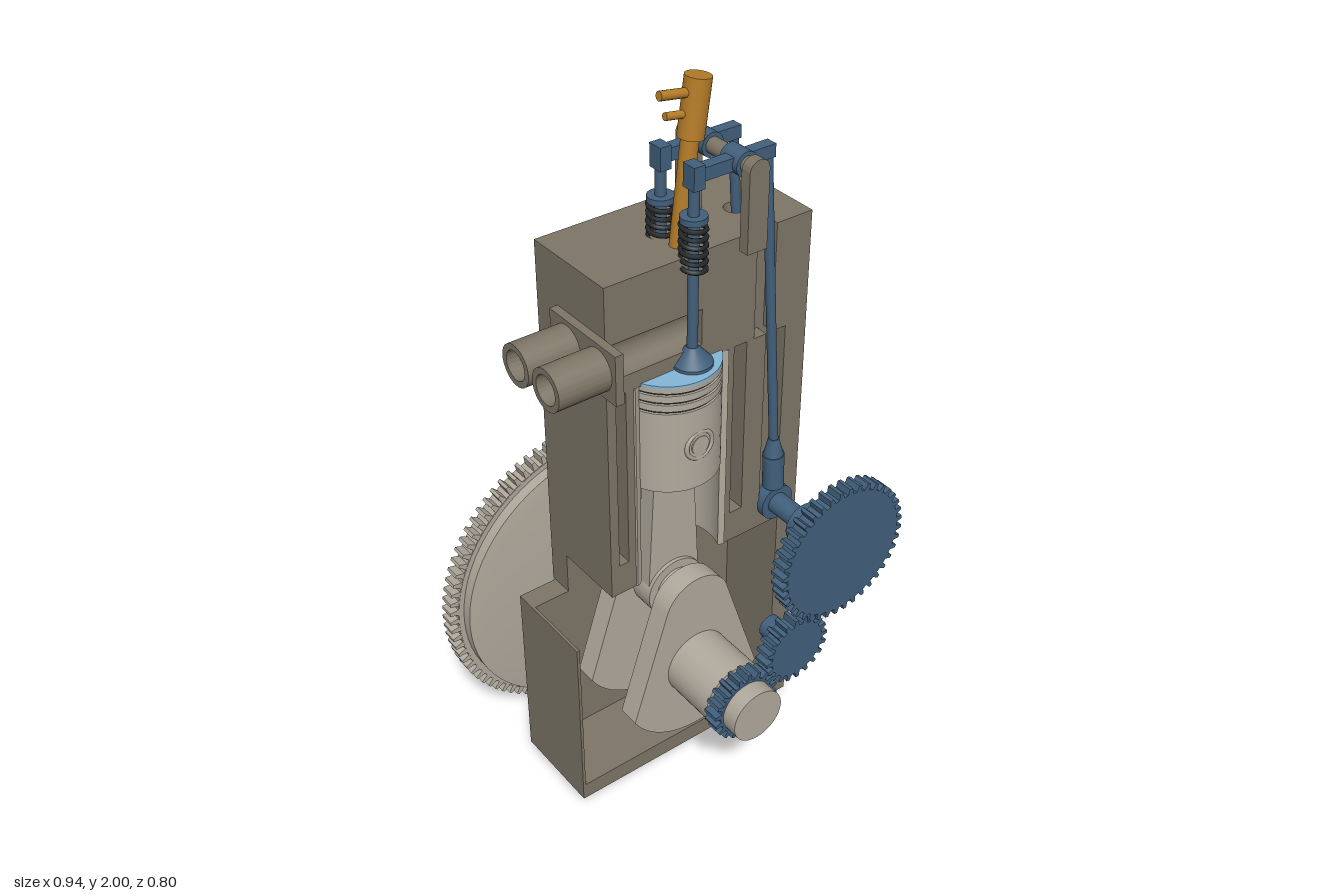
import * as THREE from 'three';
import { toCreasedNormals } from 'three/addons/utils/BufferGeometryUtils.js';

const mat = (name, color) => {
  const m = new THREE.MeshStandardMaterial({ color, side: THREE.DoubleSide });
  m.name = name;
  return m;
};

export function createModel() {
  const model = new THREE.Group();
  model.name = 'cutawayEngine';
  const block = mat('castBlock', 0x7e7667), steel = mat('paleSteel', 0xb1aa9d);
  const blue = mat('blueSteel', 0x42607c), brass = mat('brass', 0xb57c28);
  const sky = mat('paleBlue', 0x85b8d8), dark = mat('darkSpring', 0x25282a);

  const add = (name, geo, m, x = 0, y = 0, z = 0) => {
    const mesh = new THREE.Mesh(geo, m);
    mesh.name = name;
    mesh.position.set(x, y, z);
    model.add(mesh);
    return mesh;
  };
  const box = (name, m, x0, x1, y0, y1, z0, z1) => add(name,
    new THREE.BoxGeometry(x1 - x0, y1 - y0, z1 - z0), m, (x0 + x1) / 2, (y0 + y1) / 2, (z0 + z1) / 2);
  // cylinder between two points
  const rod = (name, m, a, b, r, r2 = r, seg = 32) => {
    const A = new THREE.Vector3(...a), B = new THREE.Vector3(...b), d = B.clone().sub(A);
    const mesh = add(name, new THREE.CylinderGeometry(r2, r, d.length(), seg), m);
    mesh.position.copy(A).add(B).multiplyScalar(0.5);
    mesh.quaternion.setFromUnitVectors(new THREE.Vector3(0, 1, 0), d.normalize());
    return mesh;
  };
  const disc = (name, m, x, y, z0, z1, r, seg = 48) => rod(name, m, [x, y, z0], [x, y, z1], r, r, seg);
  const extrude = (shape, depth) => toCreasedNormals(
    new THREE.ExtrudeGeometry(shape, { depth, bevelEnabled: false, curveSegments: 32 }), 0.5);
  const hole = (shape, x, y, r) => shape.holes.push(new THREE.Path().absarc(x, y, r, 0, Math.PI * 2, true));
  // horizontal slice from [x, z] outline points
  const slice = (name, m, pts, y0, y1, holes = []) => {
    const s = new THREE.Shape(pts.map(([x, z]) => new THREE.Vector2(x, -z)));
    holes.forEach(([x, z, r]) => hole(s, x, -z, r));
    return add(name, extrude(s, y1 - y0).rotateX(-Math.PI / 2), m, 0, y0, 0);
  };

  const CX = -0.027, CY = 0.448, CZ = 0.023, F = 0.08, B = -0.19;
  const valveZ = [0.083, -0.037];
  const arc = (r, a0, a1, n = 28) => Array.from({ length: n + 1 }, (_, i) => {
    const a = a0 + (a1 - a0) * i / n;
    return [CX + r * Math.cos(a), CZ + r * Math.sin(a)];
  });
  const bite = (x0, x1, z) => [[x0, F], [x0, z], [x1, z], [x1, F]];
  const outline = front => [[-0.24, B], [-0.24, F], ...front, [0.35, F], [0.35, B]];
  const cut = r => Math.asin((F - CZ) / r);
  const bore = arc(0.15, Math.PI - cut(0.15), 2 * Math.PI + cut(0.15));

  // crankcase, open at the front and the upper left
  box('crankcaseFloor', block, -0.35, 0.35, 0.07, 0.12, -0.18, F);
  box('crankcaseBack', block, -0.35, 0.35, 0.12, 0.61, -0.18, -0.12);
  box('crankcaseRearUpper', block, -0.24, 0.35, 0.61, 0.73, B, -0.12);
  box('crankcaseRightSide', block, -0.35, -0.342, 0.12, 0.61, -0.12, F);
  box('crankcaseLeftSide', block, 0.29, 0.35, 0.12, 0.73, -0.12, F);

  // cylinder block with cut bore, coolant slots and pushrod groove
  slice('cylinderSkirt', block, outline(bore), 0.73, 0.82);
  slice('cylinderBlock', block, outline([...bite(-0.215, -0.187, -0.05), ...bore,
    ...bite(0.128, 0.166, -0.05), ...bite(0.225, 0.285, 0.045)]), 0.82, 1.32);
  const groove = bite(0.188, 0.245, 0.045), pushHole = [[0.215, -0.037, 0.028]];
  slice('headLower', block, outline(groove), 1.32, 1.365, pushHole);
  slice('headPort', block, [[-0.24, B], [-0.24, 0.03], [0.03, 0.03], [0.03, F], ...groove, [0.35, F], [0.35, B]],
    1.365, 1.46, pushHole);
  slice('headUpper', block, outline(groove), 1.46, 1.61, pushHole);
  const port = new THREE.CylinderGeometry(0.047, 0.047, 0.27, 24, 1, true, Math.PI / 2, Math.PI).rotateZ(Math.PI / 2);
  add('portChannel', port, block, -0.105, 1.412, F);
  const a = cut(0.14);
  slice('cylinderLiner', steel, [...arc(0.149, Math.PI - a, 2 * Math.PI + a),
    ...arc(0.132, 2 * Math.PI + a, Math.PI - a)], 0.73, 1.32);

  // intake and exhaust pipes with a shared flange
  const flange = new THREE.Shape([[-0.15, 1.35], [0.105, 1.35], [0.105, 1.48], [-0.15, 1.48]]
    .map(p => new THREE.Vector2(...p)));
  for (const z of valveZ) {
    const ring = new THREE.Shape().absarc(-z, 1.415, 0.053, 0, Math.PI * 2);
    hole(ring, -z, 1.415, 0.037);
    hole(flange, -z, 1.415, 0.037);
    add('manifoldPipe', extrude(ring, 0.14).rotateY(Math.PI / 2), block, -0.4);
  }
  add('manifoldFlange', extrude(flange, 0.022).rotateY(Math.PI / 2), block, -0.262);

  // piston with ring grooves, crown and wrist pin
  const profile = [[0, 1.025], [0.13, 1.025], [0.13, 1.245]];
  for (const y of [1.25, 1.275, 1.3]) profile.push([0.13, y], [0.122, y], [0.122, y + 0.007], [0.13, y + 0.007]);
  profile.push([0.13, 1.32], [0, 1.32]);
  add('piston', toCreasedNormals(new THREE.LatheGeometry(
    profile.map(p => new THREE.Vector2(...p)), 48), 0.5), steel, CX, 0, CZ);
  for (const y of [1.2535, 1.2785, 1.3035])
    rod('pistonRing', dark, [CX, y - 0.0025, CZ], [CX, y + 0.0025, CZ], 0.125, 0.125, 48);
  rod('pistonCrown', sky, [CX, 1.32, CZ], [CX, 1.327, CZ], 0.13, 0.13, 48);
  add('wristPinRim', new THREE.TorusGeometry(0.037, 0.006, 8, 32), steel, CX, 1.145, 0.148);
  disc('wristPin', steel, CX, 1.145, 0.1, 0.154, 0.025);

  // connecting rod, crank throws and crankshaft
  const rodShape = new THREE.Shape([[-0.055, 1.1], [-0.08, 0.64], [0.08, 0.64], [0.055, 1.1]]
    .map(p => new THREE.Vector2(...p)));
  add('connectingRod', extrude(rodShape, 0.05), steel, CX, 0, 0);
  disc('rodBigEnd', steel, CX, 0.64, -0.01, 0.06, 0.085);
  disc('crankPin', steel, CX, 0.64, -0.05, 0.1, 0.06);
  const fan = new THREE.Shape();
  fan.moveTo(0.2, -0.11);
  fan.lineTo(0.095, 0.21);
  fan.absarc(0, 0.18, 0.1, 0.3, Math.PI - 0.3, false);
  fan.lineTo(-0.2, -0.11);
  fan.absarc(0, 0, 0.228, Math.PI + 0.5, 2 * Math.PI - 0.5, false);
  for (const z of [0.09, -0.105]) add('crankCounterweight', extrude(fan, 0.06), steel, CX, CY, z);
  disc('crankJournal', steel, CX, CY, 0.15, 0.31, 0.093);
  disc('crankNose', steel, CX, CY, 0.31, 0.4, 0.075);
  disc('crankRear', steel, CX, CY, -0.31, -0.1, 0.09);
  disc('rearBearing', block, CX, CY, -0.275, -0.18, 0.135);
  disc('flywheelFlange', steel, CX, CY, -0.31, -0.283, 0.143);

  // toothed wheels
  const gear = (name, m, x, y, z, depth, root, tip, n, phase = 0) => {
    const pts = [];
    for (let i = 0; i < n; i++) {
      [[0.0, root], [0.42, root], [0.55, tip], [0.85, tip]].forEach(([f, r]) => {
        const t = (i + f + phase) / n * Math.PI * 2;
        pts.push(new THREE.Vector2(r * Math.cos(t), r * Math.sin(t)));
      });
    }
    add(name, new THREE.ExtrudeGeometry(new THREE.Shape(pts), { depth, bevelEnabled: false }), m, x, y, z);
  };
  gear('crankGear', blue, CX, CY, 0.31, 0.045, 0.082, 0.1, 20);
  gear('idlerGear', blue, 0.135, 0.55, 0.31, 0.045, 0.082, 0.1, 20, 0.5);
  gear('camGear', blue, 0.27, 0.8, 0.31, 0.045, 0.18, 0.197, 40);
  disc('idlerStub', blue, 0.133, 0.553, 0.245, 0.31, 0.032);
  gear('flywheelRingGear', steel, CX, 0.446, -0.388, 0.042, 0.422, 0.446, 90);
  const wheel = [[0, -0.401], [0.147, -0.401], [0.147, -0.39], [0.31, -0.39], [0.31, -0.396], [0.42, -0.396],
    [0.42, -0.345], [0.405, -0.345], [0.405, -0.315], [0.36, -0.31], [0, -0.31]];
  add('flywheel', toCreasedNormals(new THREE.LatheGeometry(
    wheel.map(p => new THREE.Vector2(...p)), 72), 0.5).rotateX(Math.PI / 2), steel, CX, 0.446);

  // camshaft
  for (const [z0, z1, r] of [[-0.23, 0.31, 0.029], [0.26, 0.312, 0.06], [0.2, 0.25, 0.056],
    [-0.2, -0.18, 0.056], [0.066, 0.1, 0.05], [-0.055, -0.02, 0.05]])
    disc('camshaftSection', blue, 0.27, 0.8, z0, z1, r);

  // valve trains: valve, spring, rocker and pushrod for each port
  for (const z of valveZ) {
    rod('valveStem', blue, [0, 1.33, z], [0, 1.79, z], 0.013);
    rod('valveHead', blue, [0, 1.325, z], [0, 1.335, z], 0.05);
    rod('valveNeck', blue, [0, 1.335, z], [0, 1.375, z], 0.05, 0.014);
    rod('springCap', blue, [0, 1.695, z], [0, 1.71, z], 0.032);
    const coil = Array.from({ length: 73 }, (_, i) => {
      const t = i / 72 * 12 * Math.PI;
      return new THREE.Vector3(0.029 * Math.cos(t), 1.575 + 0.12 * i / 72, 0.029 * Math.sin(t));
    });
    add('valveSpring', new THREE.TubeGeometry(new THREE.CatmullRomCurve3(coil), 160, 0.006, 6), dark, 0, 0, z);
    box('rockerArm', blue, -0.015, 0.215, 1.79, 1.822, z - 0.015, z + 0.015);
    box('rockerTip', blue, -0.015, 0.015, 1.775, 1.832, z - 0.02, z + 0.02);
    disc('rockerBoss', blue, 0.122, 1.805, z - 0.03, z + 0.03, 0.03);
    rod('pushrod', blue, [0.204, 1.8, z], [0.264, 0.97, z], 0.012);
    rod('pushrodCup', blue, [0.264, 0.94, z], [0.262, 1.0, z], 0.028, 0.014);
    rod('tappet', blue, [0.268, 0.85, z], [0.264, 0.95, z], 0.028);
  }

  // rocker shaft and its round-topped posts
  disc('rockerShaft', block, 0.122, 1.805, -0.11, 0.155, 0.02);
  const post = new THREE.Shape();
  post.moveTo(-0.028, 1.61);
  post.lineTo(0.028, 1.61);
  post.absarc(0, 1.805, 0.028, 0, Math.PI, false);
  for (const z of [0.128, -0.107]) add('rockerPost', extrude(post, 0.028), block, 0.122, 0, z);

  // tilted injector with two side nozzles
  rod('injectorStem', brass, [0.0, 1.58, CZ], [0.036, 1.87, CZ], 0.021);
  rod('injectorBody', brass, [0.036, 1.86, CZ], [0.056, 1.996, CZ], 0.031);
  rod('injectorNozzle', brass, [-0.048, 1.975, CZ], [0.045, 1.961, CZ], 0.011, 0.011, 16);
  rod('injectorNozzle', brass, [-0.033, 1.925, CZ], [0.04, 1.914, CZ], 0.009, 0.009, 16);
  return model;
}
